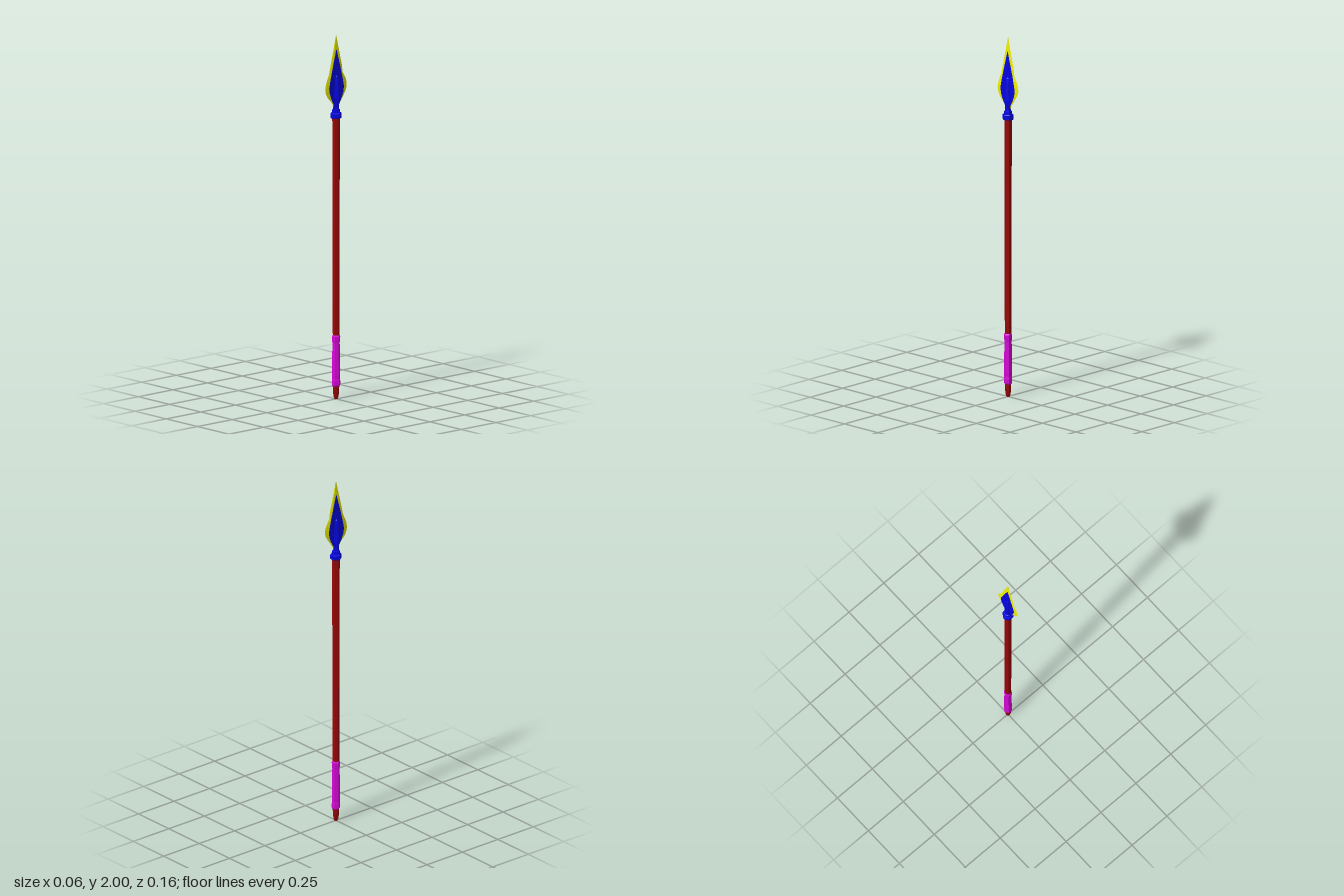
import * as THREE from 'three';

// Unit cross-sections as [x, z], running from +z towards +x
const hexagon = Array.from({ length: 6 }, (_, i) => {
  const a = Math.PI / 2 + (i * Math.PI) / 3;
  return [Math.sin(a), Math.cos(a)];
});
const edgedPlate = [[0, 1], [1, 0.65], [1, -0.65], [0, -1], [-1, -0.65], [-1, 0.65]];
const slab = [[-1, 1], [1, 1], [1, -1], [-1, -1]];

// Rows are [y, half width in x, reach to +z, reach to -z], from bottom to top
function loft(name, color, section, rows) {
  const n = section.length;
  const pos = [];
  const idx = [];
  for (const [y, hx, front = hx, back = front] of rows) {
    for (const [x, z] of section) pos.push(x * hx, y, z * (z > 0 ? front : back));
  }
  for (let r = 0; r < rows.length - 1; r++) {
    for (let i = 0; i < n; i++) {
      const a = r * n + i;
      const b = r * n + ((i + 1) % n);
      idx.push(a, b, b + n, a, b + n, a + n);
    }
  }
  // End caps
  const top = (rows.length - 1) * n;
  for (let i = 1; i < n - 1; i++) {
    idx.push(0, i + 1, i, top, top + i, top + i + 1);
  }
  const geo = new THREE.BufferGeometry();
  geo.setAttribute('position', new THREE.Float32BufferAttribute(pos, 3));
  geo.setIndex(idx);
  const flat = geo.toNonIndexed();
  flat.computeVertexNormals();
  const mesh = new THREE.Mesh(flat, new THREE.MeshStandardMaterial({ color, flatShading: true }));
  mesh.name = name;
  return mesh;
}

export function createModel() {
  const group = new THREE.Group();
  group.name = 'spear';
  const red = 0x980606, magenta = 0xd806d8, blue = 0x0404e4, yellow = 0xf0f000;

  group.add(
    // Tapering shaft with a rounded butt
    loft('shaft', red, hexagon, [[0, 0.009], [0.012, 0.013], [0.04, 0.017], [0.07, 0.0175], [1.56, 0.021]]),

    // Wrapped grip with a ring at each end
    loft('grip', magenta, hexagon, [
      [0.07, 0.018], [0.077, 0.023], [0.1, 0.023], [0.115, 0.021], [0.13, 0.022],
      [0.26, 0.021], [0.31, 0.02], [0.32, 0.022], [0.345, 0.023], [0.352, 0.019],
    ]),

    // Stepped collar
    loft('collar', blue, hexagon, [
      [1.542, 0.028], [1.547, 0.031], [1.569, 0.031], [1.573, 0.028], [1.573, 0.022], [1.59, 0.021], [1.592, 0.017],
    ]),

    // Socket that narrows into the blade
    loft('socket', blue, hexagon, [
      [1.575, 0.018], [1.605, 0.017, 0.015], [1.65, 0.022, 0.019],
      [1.7, 0.019, 0.016], [1.75, 0.015, 0.012], [1.77, 0.012, 0.009], [1.778, 0.005, 0.004],
    ]),

    // Flat leaf-shaped faces of the blade
    loft('bladeCore', blue, slab, [
      [1.59, 0.0046, 0.012], [1.62, 0.0046, 0.019], [1.65, 0.0046, 0.036], [1.68, 0.0046, 0.048],
      [1.71, 0.0046, 0.053], [1.75, 0.0045, 0.045], [1.83, 0.0043, 0.025], [1.92, 0.004, 0.0005],
    ]),

    // Sharpened outer blade
    loft('bladeEdge', yellow, edgedPlate, [
      [1.59, 0.003, 0.01], [1.615, 0.003, 0.02, 0.022], [1.64, 0.004, 0.04, 0.038],
      [1.665, 0.004, 0.064, 0.056], [1.69, 0.004, 0.075, 0.071], [1.71, 0.004, 0.078, 0.077],
      [1.735, 0.004, 0.073, 0.075], [1.76, 0.004, 0.064, 0.065], [1.79, 0.004, 0.05, 0.047],
      [1.83, 0.0038, 0.041, 0.042], [1.87, 0.0036, 0.032, 0.032], [1.93, 0.003, 0.017, 0.017], [2, 0.0005, 0.0005],
    ]),
  );
  return group;
}
